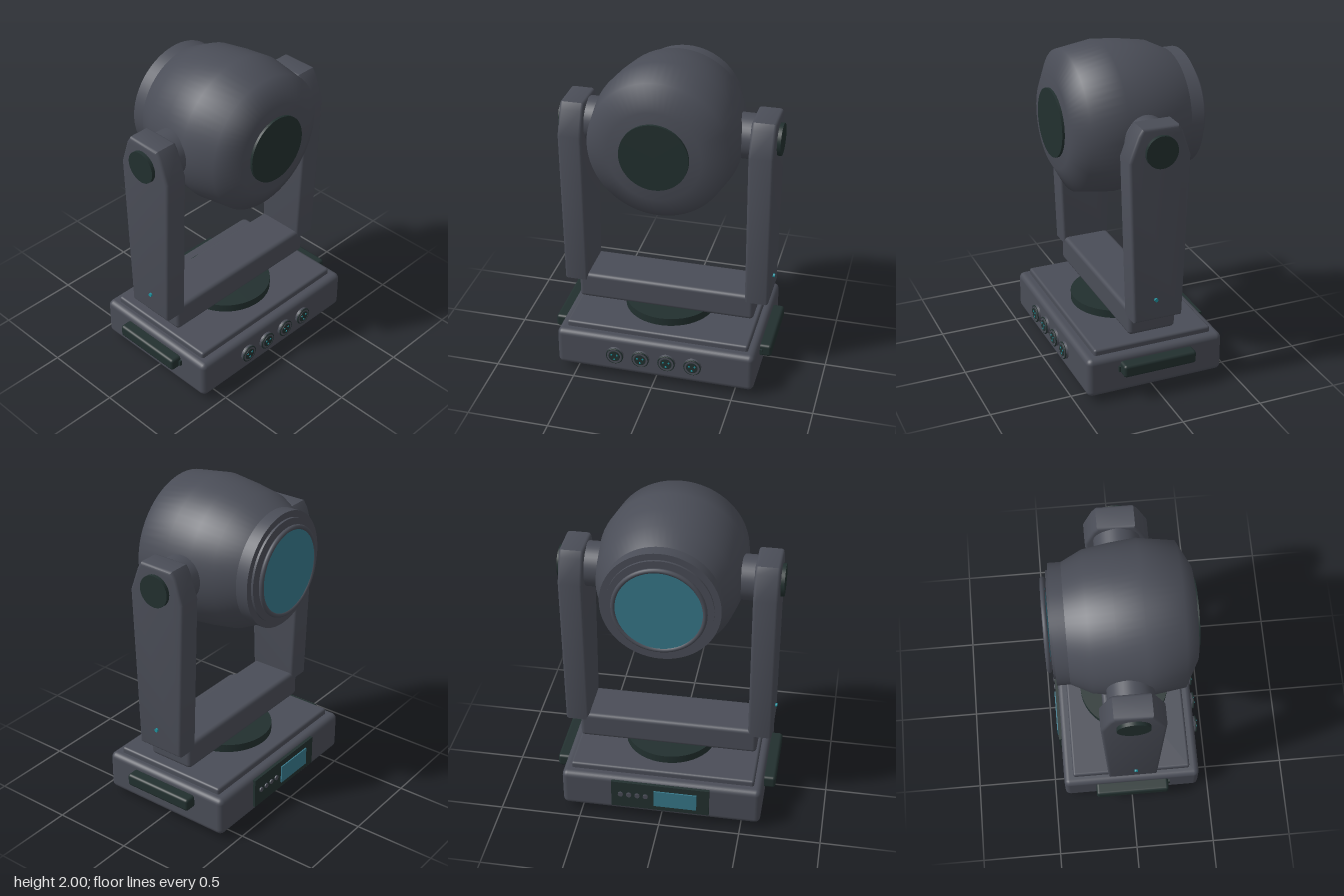
import * as THREE from 'three';
import { RoundedBoxGeometry } from 'three/addons/geometries/RoundedBoxGeometry.js';
import { toCreasedNormals } from 'three/addons/utils/BufferGeometryUtils.js';

const material = (name, color) => {
  const m = new THREE.MeshStandardMaterial({ color });
  m.name = name;
  return m;
};

export function createModel() {
  const body = material('graphite body', 0x4a4d57);
  const dark = material('dark trim', 0x22302f);
  const glass = material('teal glass', 0x37788a);
  const led = material('cyan indicator', 0x1f929e);

  const model = new THREE.Group();
  model.name = 'movingHeadLight';

  const add = (parent, name, geometry, mat, x = 0, y = 0, z = 0) => {
    const mesh = new THREE.Mesh(geometry, mat);
    mesh.name = name;
    mesh.position.set(x, y, z);
    parent.add(mesh);
    return mesh;
  };
  const group = (name, x = 0, y = 0, z = 0) => {
    const g = new THREE.Group();
    g.name = name;
    g.position.set(x, y, z);
    model.add(g);
    return g;
  };
  const rounded = (w, h, d, r) => new RoundedBoxGeometry(w, h, d, 3, r);
  const disc = (r, h, segments = 40, rBottom = r) => new THREE.CylinderGeometry(r, rBottom, h, segments);
  const discX = (r, h) => disc(r, h).rotateZ(Math.PI / 2);
  const discZ = (r, h, segments = 40, rBack = r) => disc(r, h, segments, rBack).rotateX(Math.PI / 2);

  // Base with raised lid, feet and side handles
  const base = group('base');
  add(base, 'baseBody', rounded(1.24, 0.25, 0.87, 0.035), body, 0, 0.16, 0);
  add(base, 'baseLid', rounded(1.14, 0.07, 0.75, 0.015), body, 0, 0.287, 0);
  for (const x of [-1, 1]) {
    for (const z of [-1, 1]) add(base, 'foot', disc(0.058, 0.05, 24), dark, x * 0.478, 0.025, z * 0.3);
    add(base, 'handle', rounded(0.085, 0.08, 0.465, 0.018), dark, x * 0.6475, 0.205, 0);
    add(base, 'handleMount', new THREE.BoxGeometry(0.03, 0.035, 0.03), dark, x * 0.62, 0.2, 0.23);
  }

  // Front sockets, each with three pins
  for (const x of [-0.245, -0.082, 0.082, 0.245]) {
    const socket = group('socket', x, 0.165, 0.435);
    add(socket, 'socketShell', discZ(0.048, 0.024, 32, 0.055), body, 0, 0, 0.01);
    add(socket, 'socketRim', new THREE.TorusGeometry(0.05, 0.005, 8, 32), dark, 0, 0, 0.018);
    add(socket, 'socketFace', discZ(0.036, 0.004, 32), dark, 0, 0, 0.022);
    for (let i = 0; i < 3; i++) {
      const a = Math.PI / 6 + (i * Math.PI * 2) / 3;
      add(socket, 'pin', discZ(0.006, 0.006, 10), led, Math.cos(a) * 0.02, Math.sin(a) * 0.02, 0.024);
    }
  }

  // Rear control panel with display and buttons
  const panel = group('controlPanel', 0, 0.172, -0.44);
  add(panel, 'panelPlate', new THREE.BoxGeometry(0.61, 0.19, 0.02), dark);
  add(panel, 'display', new THREE.BoxGeometry(0.265, 0.115, 0.009), glass, -0.095, -0.002, -0.0135);
  for (let i = 0; i < 4; i++) {
    add(panel, 'button', discZ(0.016, 0.012, 16), body, 0.09 + i * 0.052, 0.005, -0.013);
  }

  // Turntable and yoke
  const yoke = group('yoke');
  add(yoke, 'turntable', disc(0.283, 0.06, 48), dark, 0, 0.342, 0);
  add(yoke, 'crossbar', rounded(1.11, 0.17, 0.3, 0.025), body, 0, 0.447, 0);

  const armShape = new THREE.Shape([
    [-0.15, 0.49], [0.155, 0.49], [0.19, 1.5], [0.135, 1.65], [0.11, 1.69],
    [-0.11, 1.69], [-0.135, 1.65], [-0.185, 1.5],
  ].map(([z, y]) => new THREE.Vector2(z, y)));
  const bevel = 0.018;
  const armGeometry = toCreasedNormals(
    new THREE.ExtrudeGeometry(armShape, {
      depth: 0.148 - 2 * bevel, bevelEnabled: true, bevelSize: bevel,
      bevelThickness: bevel, bevelOffset: -bevel, bevelSegments: 3,
    }).translate(0, 0, bevel - 0.074).rotateY(-Math.PI / 2), 0.6);

  for (const side of [-1, 1]) {
    add(yoke, 'arm', armGeometry, body, side * 0.572, 0, 0);
    add(yoke, 'pivotCap', discX(0.097, 0.03), dark, side * 0.653, 1.548, 0);
    add(yoke, 'pivot', discX(0.135, 0.14), body, side * 0.45, 1.547, 0);
    add(yoke, 'armIndicator', discX(0.011, 0.02), led, side * 0.648, 0.625, 0.02);
  }

  // Head shell: a smooth turned body lying along z
  const head = group('head', 0, 1.548, 0);
  const profile = [
    [0.347, -0.335], [0.41, -0.21], [0.435, -0.06], [0.452, 0.1], [0.42, 0.32], [0.275, 0.4], [0, 0.4],
  ].map(([r, z]) => new THREE.Vector2(r, z));
  add(head, 'headShell', new THREE.LatheGeometry(profile, 64).rotateX(Math.PI / 2), body);
  add(head, 'frontCap', discZ(0.205, 0.03, 48), dark, 0, 0, 0.4);

  // Stepped lens housing at the back, with its rim and glass
  add(head, 'lensCollar', discZ(0.349, 0.08, 64), body, 0, 0, -0.367);
  add(head, 'lensStep', discZ(0.31, 0.03, 64), body, 0, 0, -0.406);
  add(head, 'lensRim', new THREE.TorusGeometry(0.262, 0.014, 12, 64), body, 0, 0, -0.443);
  add(head, 'lens', discZ(0.256, 0.014, 64), glass, 0, 0, -0.443);

  return model;
}
